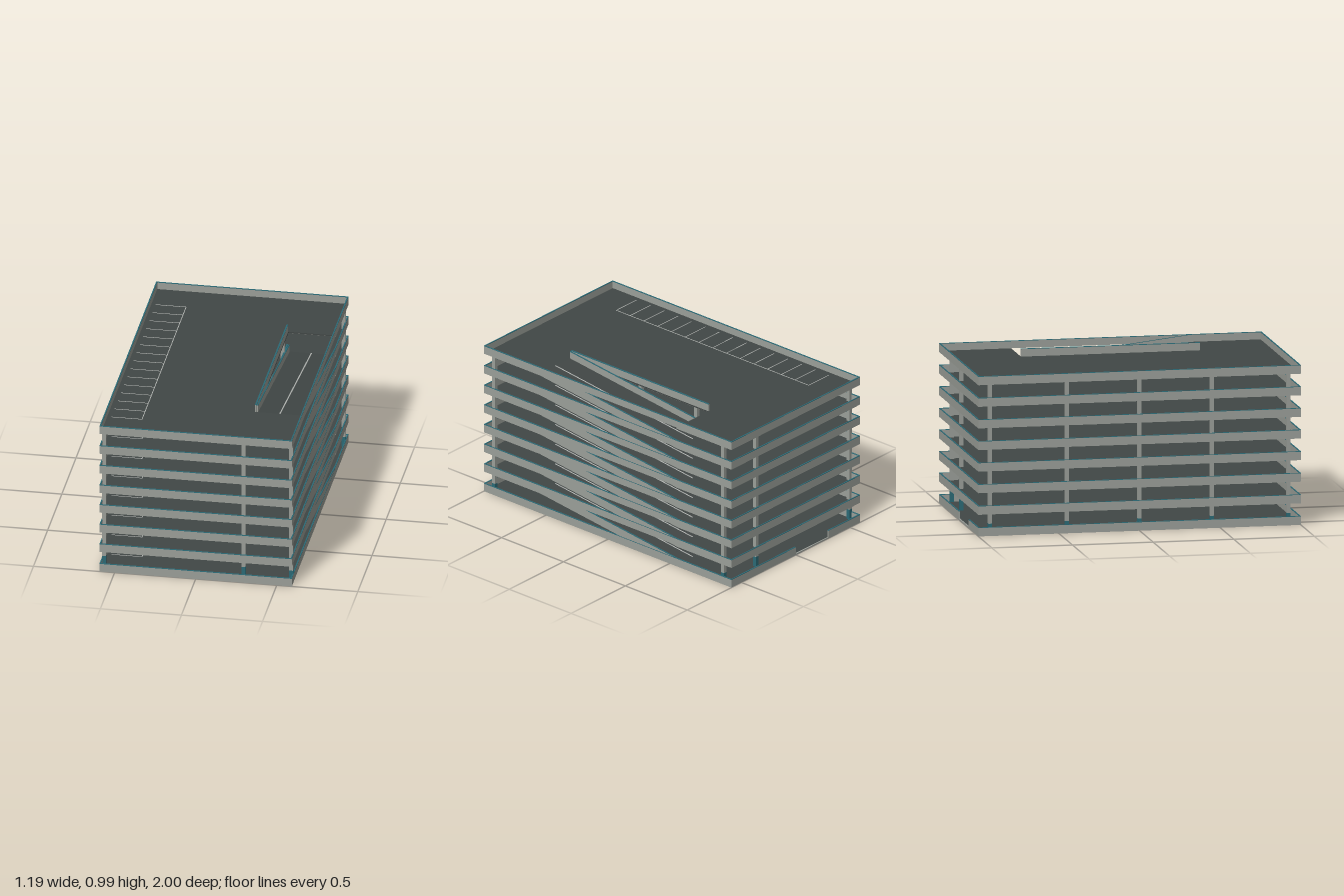
import * as THREE from 'three';

const W = 0.593;        // half width
const D = 1;            // half depth
const STEP = 0.1332;    // storey height
const LEVELS = 8;
const RIM_H = 0.0545;   // parapet band height
const CAP = 0.003;      // coping thickness
const T = 0.008;        // wall and slab thickness
const RAMP_X0 = 0.3, RAMP_X1 = 0.584, RAMP_Z = 0.555;

export function createModel() {
  const material = (name, color) => {
    const m = new THREE.MeshStandardMaterial({ color });
    m.name = name;
    return m;
  };
  const concrete = material('concrete', 0x9b9f99);
  const soffit = material('soffit grey', 0x7c7e79);
  const asphalt = material('asphalt', 0x414746);
  const teal = material('teal trim', 0x2b6a76);
  const paint = material('line paint', 0xb0b3b0);

  const model = new THREE.Group();
  model.name = 'parkingGarage';

  // Box given by its limits; slope shears it along z for ramp parts
  const box = (parent, name, mat, x0, x1, y0, y1, z0, z1, slope = 0) => {
    const g = new THREE.BoxGeometry(x1 - x0, y1 - y0, z1 - z0);
    g.translate((x0 + x1) / 2, (y0 + y1) / 2, (z0 + z1) / 2);
    if (slope) {
      const p = g.attributes.position;
      for (let i = 0; i < p.count; i++) p.setY(i, p.getY(i) + slope * p.getZ(i));
      g.computeVertexNormals();
    }
    const mesh = new THREE.Mesh(g, mat);
    mesh.name = name;
    parent.add(mesh);
  };

  // Parapet wall with a teal coping; low lifts its lower edge
  const parapet = (parent, name, x0, x1, y, z0, z1, slope = 0, low = 0) => {
    box(parent, name, concrete, x0, x1, y + low, y + RIM_H - CAP, z0, z1, slope);
    box(parent, name + 'Coping', teal, x0, x1, y + RIM_H - CAP, y + RIM_H, z0, z1, slope);
  };

  // Asphalt deck with a paler underside
  const deck = (parent, name, x0, x1, y, z0, z1, slope = 0) => {
    box(parent, name + 'Soffit', soffit, x0, x1, y, y + 0.001, z0, z1, slope);
    box(parent, name, asphalt, x0, x1, y + 0.001, y + T, z0, z1, slope);
  };

  for (let i = 0; i < LEVELS; i++) {
    const y = i * STEP, w = W - T, d = D - T;
    const level = new THREE.Group();
    level.name = 'level' + i;
    model.add(level);

    // Floor, open over the ramp on every level above ground
    if (i === 0) {
      deck(level, 'floor', -w, w, y, -d, d);
    } else {
      deck(level, 'floor', -w, RAMP_X0, y, -d, d);
      deck(level, 'floorFront', RAMP_X0, w, y, RAMP_Z, d);
      deck(level, 'floorBack', RAMP_X0, w, y, -d, -RAMP_Z);
    }

    // Outer parapets; the ground floor has a drive-in gap at the back
    parapet(level, 'frontParapet', -W, W, y, d, D);
    if (i === 0) {
      parapet(level, 'backParapetRight', -W, -0.3, y, -D, -d);
      parapet(level, 'backParapetLeft', 0, W, y, -D, -d);
      box(level, 'entranceSill', concrete, -0.3, 0, y, y + T, -D, -d);
    } else {
      parapet(level, 'backParapet', -W, W, y, -D, -d);
    }
    parapet(level, 'rightParapet', -W, -w, y, -d, d);
    parapet(level, 'leftParapetFront', w, W, y, RAMP_Z, d);
    parapet(level, 'leftParapetBack', w, W, y, -d, -RAMP_Z);
    parapet(level, 'leftParapetMiddle', w, W, y, -RAMP_Z, RAMP_Z, 0, i ? T : 0);

    // Parking bay markings
    const ly = y + T, lh = 0.001, hw = 0.0025;
    for (let k = 0; k < 15; k++) {
      const z = -0.78 + k * 0.111;
      box(level, 'bayLine', paint, -0.558, -0.37, ly, ly + lh, z - hw, z + hw);
    }
    box(level, 'bayEndLine', paint, -0.3725, -0.3675, ly, ly + lh, -0.7825, 0.7765);

    // Ramp from the level below, rising toward the front
    if (i > 0) {
      parapet(level, 'rampOpeningParapet', RAMP_X0 - 0.012, RAMP_X0 - 0.002, y + 0.002, -RAMP_Z, RAMP_Z);
      const ramp = new THREE.Group();
      ramp.name = 'ramp';
      level.add(ramp);
      const slope = STEP / (2 * RAMP_Z), my = y - STEP / 2;
      deck(ramp, 'rampDeck', RAMP_X0, RAMP_X1, my, -RAMP_Z, RAMP_Z, slope);
      box(ramp, 'rampLaneLine', paint, 0.438, 0.446, my + T, my + T + 0.001, -RAMP_Z, RAMP_Z, slope);
      parapet(ramp, 'rampInnerWall', RAMP_X0, RAMP_X0 + T, my, -RAMP_Z, RAMP_Z, slope);
      parapet(ramp, 'rampOuterWall', W - 0.0095, W - 0.0015, my, -RAMP_Z, RAMP_Z, slope);
    }
  }

  // Columns with teal feet; the ramp side only has corner columns
  const top = (LEVELS - 1) * STEP, r = 0.0118;
  const ends = [-0.925, 0.925], all = [-0.925, -0.45, 0, 0.45, 0.925];
  for (const [x, rows] of [[-0.577, all], [0.284, all], [0.577, ends]]) {
    for (const z of rows) {
      box(model, 'columnFoot', teal, x - r, x + r, T, 0.075, z - r, z + r);
      box(model, 'column', concrete, x - r, x + r, 0.075, top, z - r, z + r);
    }
  }
  return model;
}
